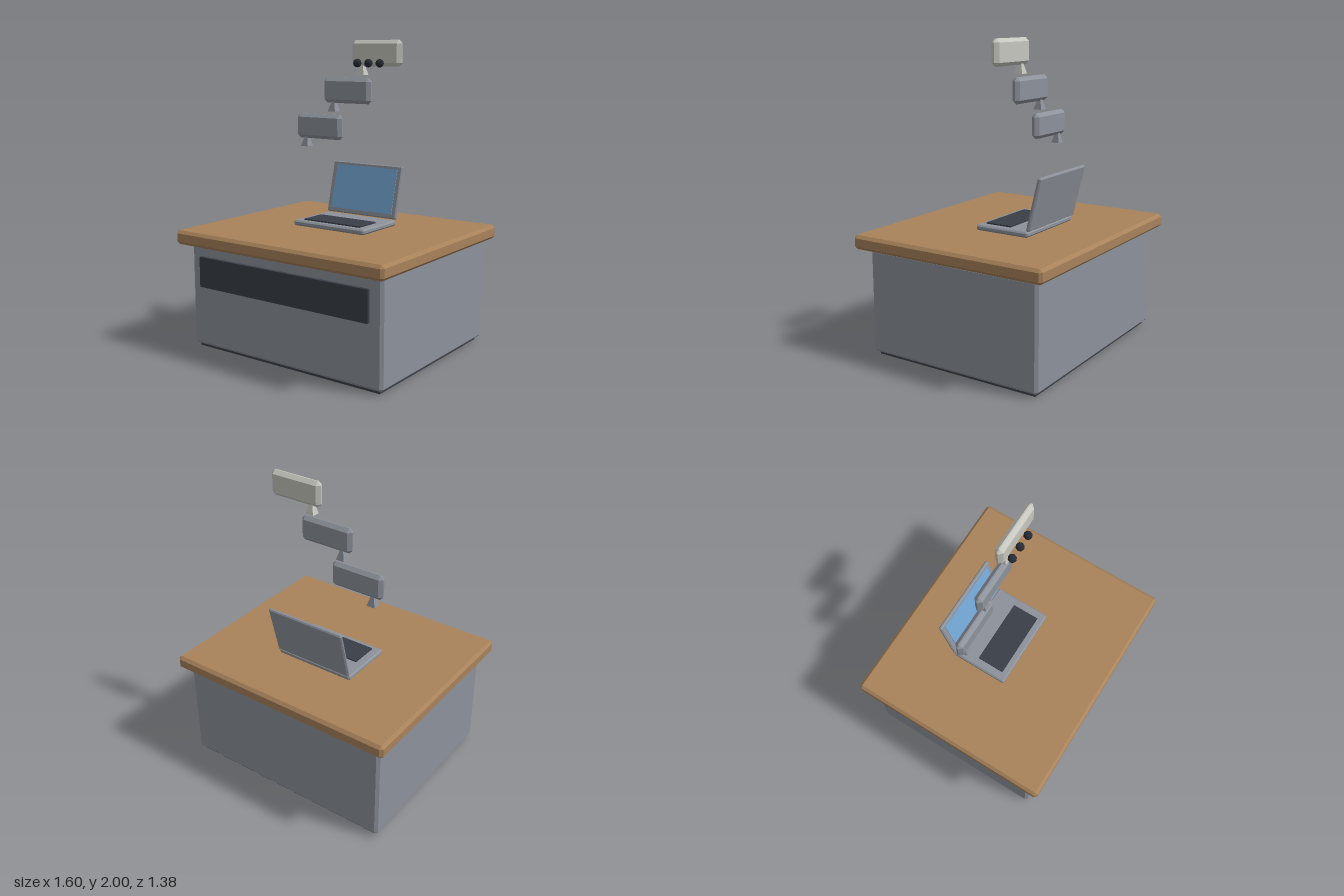
import * as THREE from 'three';
import { ConvexGeometry } from 'three/addons/geometries/ConvexGeometry.js';

const mat = (name, color) => {
  const m = new THREE.MeshStandardMaterial({ color });
  m.name = name;
  return m;
};

// Box with every edge and corner cut by c
function chamferBox(w, h, d, c) {
  const pts = [], x = w / 2, y = h / 2, z = d / 2;
  for (const i of [-1, 1]) for (const j of [-1, 1]) for (const k of [-1, 1]) {
    pts.push(
      new THREE.Vector3(i * x, j * (y - c), k * (z - c)),
      new THREE.Vector3(i * (x - c), j * y, k * (z - c)),
      new THREE.Vector3(i * (x - c), j * (y - c), k * z));
  }
  return new ConvexGeometry(pts);
}

export function createModel() {
  const model = new THREE.Group();
  model.name = 'deskWithLaptop';
  const grey = mat('grey', 0x8d929b);
  const wood = mat('wood', 0xa8825a);
  const charcoal = mat('charcoal', 0x3a3e48);
  const blue = mat('screenBlue', 0x74a8d6);
  const cream = mat('cream', 0xc6c7be);
  const black = mat('dotBlack', 0x282a32);

  const add = (parent, name, geometry, material, x, y, z) => {
    const mesh = new THREE.Mesh(geometry, material);
    mesh.name = name;
    mesh.position.set(x, y, z);
    parent.add(mesh);
    return mesh;
  };

  // Desk
  const desk = new THREE.Group();
  desk.name = 'desk';
  model.add(desk);
  add(desk, 'plinth', new THREE.BoxGeometry(1.42, 0.04, 1.17), charcoal, 0, 0.02, -0.015);
  add(desk, 'body', chamferBox(1.485, 0.68, 1.23, 0.018), grey, 0, 0.36, -0.015);
  add(desk, 'frontPanel', new THREE.BoxGeometry(1.31, 0.2, 0.03), charcoal, 0, 0.52, 0.607);
  add(desk, 'tabletop', chamferBox(1.6, 0.092, 1.38, 0.019), wood, 0, 0.744, 0);

  // Laptop with its lid leaning back
  const laptop = new THREE.Group();
  laptop.name = 'laptop';
  model.add(laptop);
  add(laptop, 'laptopBase', chamferBox(0.56, 0.036, 0.385, 0.01), grey, 0, 0.808, -0.075);
  add(laptop, 'keyboard', new THREE.BoxGeometry(0.445, 0.009, 0.185), charcoal, 0, 0.83, -0.018);
  const lid = new THREE.Group();
  lid.name = 'lid';
  lid.position.set(0, 1.002, -0.31);
  lid.rotation.x = -0.245;
  laptop.add(lid);
  add(lid, 'lidShell', chamferBox(0.56, 0.355, 0.025, 0.008), grey, 0, 0, 0);
  add(lid, 'screen', new THREE.BoxGeometry(0.49, 0.302, 0.009), blue, 0, 0.003, 0.012);

  // Floating speech bubbles, each with a flared square tail
  const bubbleGeo = chamferBox(0.37, 0.165, 0.055, 0.023);
  const tailGeo = new THREE.CylinderGeometry(0.008, 0.041, 0.085, 4).toNonIndexed();
  tailGeo.rotateY(Math.PI / 4);
  tailGeo.computeVertexNormals();
  const bubbles = [
    ['lowerBubble', -0.23, 1.433, grey],
    ['middleBubble', -0.003, 1.677, grey],
    ['upperBubble', 0.223, 1.9175, cream],
  ];
  for (const [name, x, y, material] of bubbles) {
    const group = new THREE.Group();
    group.name = name;
    group.position.set(x, y, -0.112);
    model.add(group);
    add(group, 'bubble', bubbleGeo, material, 0, 0, 0);
    add(group, 'tail', tailGeo, material, -0.112, -0.0955, 0);
  }

  // Typing dots in front of the upper bubble
  const dotGeo = new THREE.SphereGeometry(0.027, 8, 6).toNonIndexed();
  dotGeo.computeVertexNormals();
  for (let i = 0; i < 3; i++) add(model, 'dot', dotGeo, black, 0.109 + i * 0.085, 1.856, -0.057);

  return model;
}
